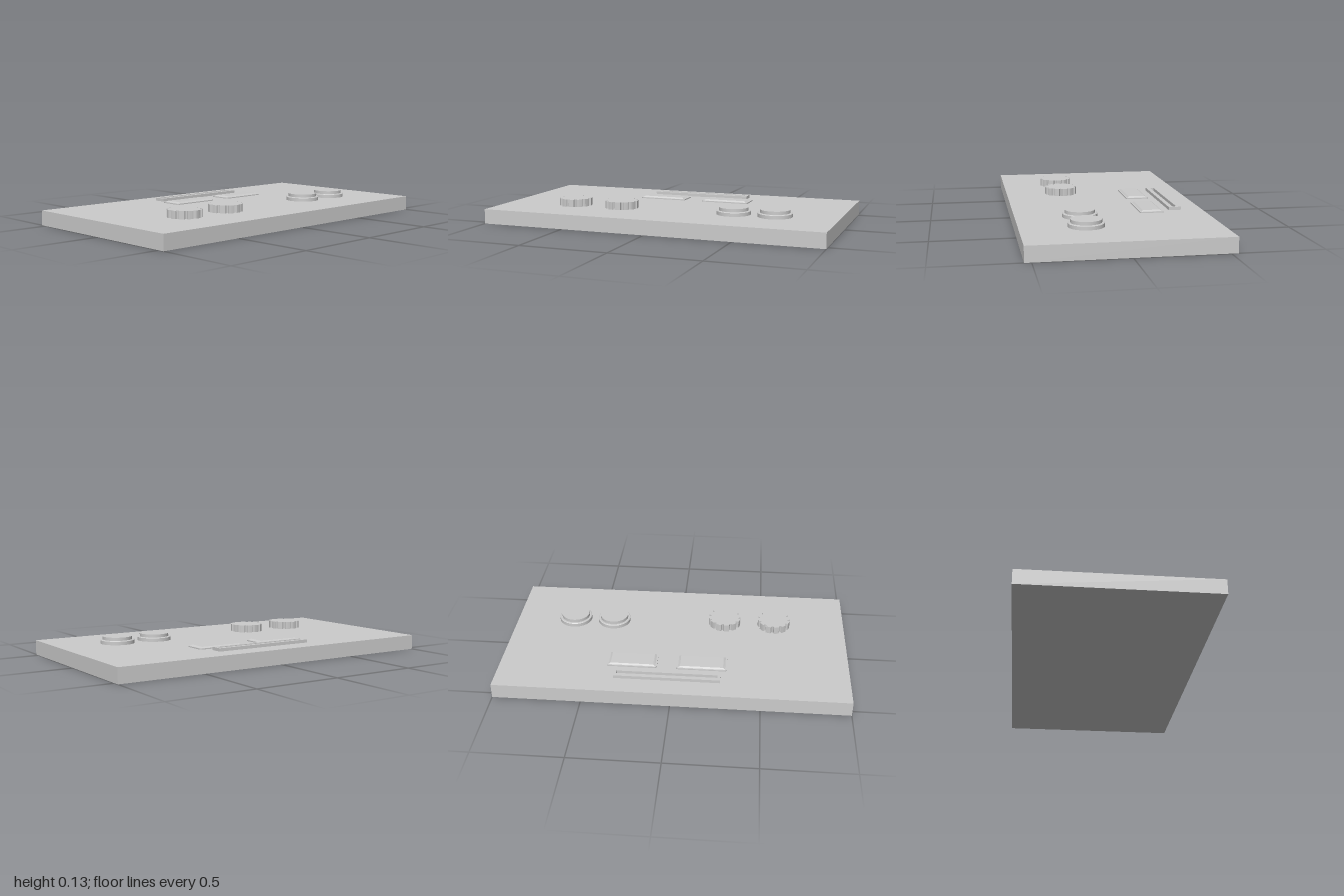
import * as THREE from 'three';

const TOP = 0.085; // upper face of the panel
const material = new THREE.MeshStandardMaterial({ color: 0xcccccc, flatShading: true });
const smooth = new THREE.MeshStandardMaterial({ color: 0xcccccc });

function add(parent, name, geometry, x, y, z, mat = material) {
  const mesh = new THREE.Mesh(geometry, mat);
  mesh.name = name;
  mesh.position.set(x, y, z);
  parent.add(mesh);
  return mesh;
}

// Extrude a plan outline upwards
function extrudeUp(shape, height) {
  return new THREE.ExtrudeGeometry(shape, { depth: height, bevelEnabled: false, curveSegments: 6 })
    .rotateX(-Math.PI / 2);
}

function rectangle(w, l, Type = THREE.Shape) {
  const s = new Type();
  s.moveTo(-w / 2, -l / 2);
  s.lineTo(w / 2, -l / 2);
  s.lineTo(w / 2, l / 2);
  s.lineTo(-w / 2, l / 2);
  s.closePath();
  return s;
}

function roundedRectangle(w, l, r) {
  const s = new THREE.Shape();
  const x = w / 2 - r, y = l / 2 - r;
  s.absarc(x, y, r, 0, Math.PI / 2);
  s.absarc(-x, y, r, Math.PI / 2, Math.PI);
  s.absarc(-x, -y, r, Math.PI, Math.PI * 1.5);
  s.absarc(x, -y, r, Math.PI * 1.5, Math.PI * 2);
  s.closePath();
  return s;
}

// Round knob outline with scooped grip notches
function knobShape(radius, notches, depth) {
  const s = new THREE.Shape();
  const step = (Math.PI * 2) / notches;
  const at = (a, r) => [Math.cos(a) * r, Math.sin(a) * r];
  s.moveTo(...at(0, radius));
  for (let i = 0; i < notches; i++) {
    const a = i * step;
    for (const f of [0.2, 0.4, 0.6]) s.lineTo(...at(a + f * step, radius));
    s.lineTo(...at(a + 0.68 * step, radius - depth * 0.75));
    s.lineTo(...at(a + 0.8 * step, radius - depth));
    s.lineTo(...at(a + 0.92 * step, radius - depth * 0.75));
    if (i < notches - 1) s.lineTo(...at(a + step, radius));
  }
  s.closePath();
  return s;
}

export function createModel() {
  const model = new THREE.Group();
  add(model, 'panel', new THREE.BoxGeometry(1.074, TOP, 2), 0, TOP / 2, 0);

  // Fluted rotary knobs
  for (const z of [0.275, 0.575]) {
    add(model, 'knob', extrudeUp(knobShape(0.097, 12, 0.014), 0.044), 0.202, TOP, z);
  }

  // Push buttons: collar with a chamfered lip and a raised cap
  for (const z of [-0.645, -0.405]) {
    const button = new THREE.Group();
    button.name = 'pushButton';
    button.position.set(0.18, TOP, z);
    const collar = [[0.098, 0], [0.098, 0.02], [0.094, 0.023], [0.084, 0.023]]
      .map(([r, y]) => new THREE.Vector2(r, y));
    // Separate bands keep the edges crisp
    for (let i = 0; i < 3; i++) {
      add(button, 'collar', new THREE.LatheGeometry([collar[i], collar[i + 1]], 48), 0, 0, 0, smooth);
    }
    add(button, 'cap', new THREE.CylinderGeometry(0.084, 0.084, 0.041, 48), 0, 0.0205, 0, smooth);
    model.add(button);
  }

  // Rocker switches: bevelled plate with a slightly tilted cap
  for (const z of [-0.239, 0.161]) {
    const rocker = new THREE.Group();
    rocker.name = 'rockerSwitch';
    rocker.position.set(-0.236, TOP, z);
    add(rocker, 'frame', extrudeUp(roundedRectangle(0.136, 0.288, 0.012), 0.006), 0, 0, 0);
    const cap = new THREE.BoxGeometry(0.122, 0.008, 0.274);
    const p = cap.attributes.position;
    for (let i = 0; i < p.count; i++) {
      if (p.getY(i) < 0) continue;
      const side = Math.sign(p.getX(i));
      p.setX(i, side * 0.05);
      p.setZ(i, Math.sign(p.getZ(i)) * 0.123);
      p.setY(i, 0.004 + side * 0.001);
    }
    cap.computeVertexNormals();
    add(rocker, 'cap', cap, 0, 0.009, 0);
    model.add(rocker);
  }

  // Slider track: long bar with an open slot
  const track = rectangle(0.072, 0.602);
  track.holes.push(rectangle(0.022, 0.57, THREE.Path));
  add(model, 'sliderTrack', extrudeUp(track, 0.018), -0.38, TOP, -0.029);

  return model;
}
